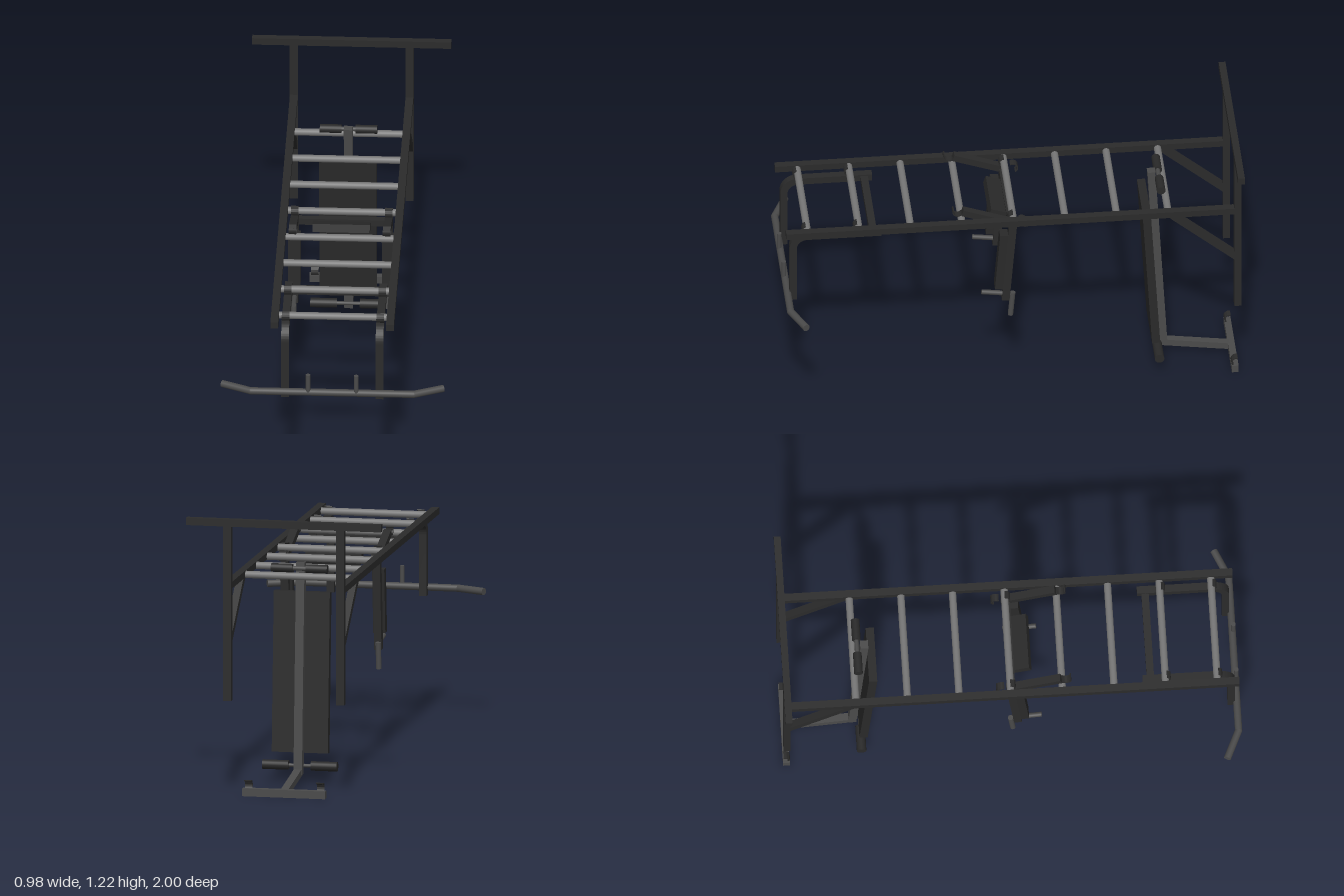
import * as THREE from 'three';
import { toCreasedNormals } from 'three/addons/utils/BufferGeometryUtils.js';

const mat = (color) => new THREE.MeshStandardMaterial({ color });
const V = (x, y, z) => new THREE.Vector3(x, y, z);

export function createModel() {
  const root = new THREE.Group();
  const frame = mat(0x2b2b2b), steel = mat(0x4a4a4a), rungMat = mat(0x777777), pad = mat(0x292929);

  const add = (parent, name, geo, material) => {
    const m = new THREE.Mesh(geo, material);
    m.name = name;
    parent.add(m);
    return m;
  };
  const group = (name) => {
    const g = new THREE.Group();
    g.name = name;
    root.add(g);
    return g;
  };
  // Rectangular bar from a to b: w across, t thick
  const bar = (parent, name, a, b, w, t, material) => {
    const m = add(parent, name, new THREE.BoxGeometry(w, t, a.distanceTo(b)), material);
    m.position.copy(a).add(b).multiplyScalar(0.5);
    if (Math.abs(b.x - a.x) < 1e-6 && Math.abs(b.z - a.z) < 1e-6) m.rotation.x = Math.PI / 2;
    else m.lookAt(b);
    return m;
  };
  // Round rod from a to b
  const rod = (parent, name, a, b, r, material) => {
    const m = add(parent, name, new THREE.CylinderGeometry(r, r, a.distanceTo(b), 20), material);
    m.position.copy(a).add(b).multiplyScalar(0.5);
    m.quaternion.setFromUnitVectors(V(0, 1, 0), b.clone().sub(a).normalize());
    return m;
  };
  // Side profile in (z, y), extruded across x and centred on x
  const profile = (parent, name, shape, x, width, material) => {
    const geo = new THREE.ExtrudeGeometry(shape, { depth: width, bevelEnabled: false, curveSegments: 16 });
    geo.rotateY(-Math.PI / 2).translate(x + width / 2, 0, 0);
    return add(parent, name, toCreasedNormals(geo, 0.6), material);
  };
  // Thin curved hook, swept between two angles in degrees (0 = forward, 90 = up)
  const hook = (parent, x, y, z, from, to, r = 0.024) => {
    const s = new THREE.Shape();
    const a = THREE.MathUtils.degToRad(from), b = THREE.MathUtils.degToRad(to);
    s.absarc(z, y, r, a, b, false);
    s.absarc(z, y, r - 0.005, b, a, true);
    return profile(parent, 'hook', s, x, 0.033, frame);
  };

  // Ladder frame with wall posts
  const ladder = group('ladderFrame');
  for (const s of [-1, 1]) {
    const x = s * 0.252;
    bar(ladder, 'sideRail', V(x, 0.928, -0.985), V(x, 0.928, 0.99), 0.034, 0.03, frame);
    bar(ladder, 'wallPost', V(x, 0.42, -0.985), V(x, 1.2, -0.985), 0.036, 0.03, frame);
    bar(ladder, 'brace', V(x, 0.92, -0.7), V(x, 0.68, -0.98), 0.032, 0.03, frame);
  }
  bar(ladder, 'wallCrossbar', V(-0.434, 1.208, -0.985), V(0.434, 1.208, -0.985), 0.03, 0.032, frame);
  for (let i = 0; i < 8; i++) {
    const z = -0.683 + i * 0.2253;
    rod(ladder, 'rung', V(-0.24, 0.925, z), V(0.24, 0.925, z), 0.016, rungMat);
  }

  // Pull-up attachment: bent arms, crossbar and grip bar
  const pullUp = group('pullUpAttachment');
  const arm = new THREE.Shape();
  arm.moveTo(0.57, 0.874);
  arm.lineTo(0.895, 0.874);
  arm.absarc(0.895, 0.829, 0.045, Math.PI / 2, 0, true);
  arm.lineTo(0.94, 0.557);
  arm.lineTo(0.972, 0.557);
  arm.lineTo(0.972, 0.829);
  arm.absarc(0.895, 0.829, 0.077, 0, Math.PI / 2, false);
  arm.lineTo(0.57, 0.906);
  arm.closePath();
  for (const s of [-1, 1]) {
    profile(pullUp, 'bentArm', arm, s * 0.206, 0.034, frame);
    hook(pullUp, s * 0.206, 0.925, 0.894, -90, 70);
    hook(pullUp, s * 0.206, 0.925, 0.669, -90, 70);
    rod(pullUp, 'gripPeg', V(s * 0.105, 0.59, 0.985), V(s * 0.105, 0.68, 0.985), 0.01, steel);
    rod(pullUp, 'bentGrip', V(s * 0.355, 0.59, 0.98), V(s * 0.482, 0.59, 0.923), 0.016, steel);
    add(pullUp, 'gripBend', new THREE.SphereGeometry(0.016, 20, 12), steel).position.set(s * 0.355, 0.59, 0.98);
  }
  bar(pullUp, 'armCrossbar', V(-0.2, 0.885, 0.605), V(0.2, 0.885, 0.605), 0.032, 0.03, frame);
  rod(pullUp, 'gripBar', V(-0.355, 0.59, 0.98), V(0.355, 0.59, 0.98), 0.016, steel);

  // Dip station: sloped hangers, legs, arm pads and handles
  const dip = group('dipStation');
  for (const s of [-1, 1]) {
    const x = s * 0.205;
    bar(dip, 'sloped hanger', V(x, 0.968, 0.215), V(x, 0.885, -0.02), 0.034, 0.03, frame);
    hook(dip, x, 0.975, 0.235, -140, 30);
    hook(dip, x, 0.895, -0.045, 60, 240);
    hook(dip, x, 0.925, -0.007, -60, 90);
    bar(dip, 'leg', V(x, 0.9, -0.008), V(x, 0.485, 0.026), 0.032, 0.034, frame);
    bar(dip, 'armPad', V(x, 0.84, 0.033), V(x, 0.555, 0.056), 0.054, 0.036, pad);
    rod(dip, 'handleSupport', V(x, 0.528, 0.13), V(x, 0.51, 0), 0.011, steel);
    rod(dip, 'handle', V(s * 0.21, 0.52, -0.006), V(s * 0.21, 0.402, 0.004), 0.012, steel);
  }
  bar(dip, 'dipCrossbar', V(-0.2, 0.882, 0), V(0.2, 0.882, 0), 0.03, 0.03, frame);
  const back = bar(dip, 'backPad', V(0, 0.893, 0.085), V(0, 0.868, 0.01), 0.25, 0.036, pad);
  back.name = 'backPad';

  // Sit-up bench: spine, long pad, rollers and foot
  const bench = group('sitUpBench');
  bar(bench, 'spine', V(0, 0.98, -0.632), V(0, 0.05, -0.685), 0.038, 0.035, steel);
  bar(bench, 'benchPad', V(0, 0.845, -0.6), V(0, 0.14, -0.642), 0.25, 0.036, pad);
  bar(bench, 'footTube', V(0, 0.062, -0.68), V(0, 0.02, -0.975), 0.034, 0.03, steel);
  bar(bench, 'footCrossbar', V(-0.184, 0.018, -0.982), V(0.184, 0.018, -0.982), 0.03, 0.034, steel);
  rod(bench, 'upperAxle', V(-0.1, 0.957, -0.664), V(0.1, 0.957, -0.664), 0.01, steel);
  rod(bench, 'lowerAxle', V(-0.1, 0.083, -0.653), V(0.1, 0.083, -0.653), 0.008, steel);
  for (const s of [-1, 1]) {
    rod(bench, 'upperRoller', V(s * 0.03, 0.957, -0.664), V(s * 0.125, 0.957, -0.664), 0.019, pad);
    rod(bench, 'lowerRoller', V(s * 0.05, 0.083, -0.653), V(s * 0.166, 0.083, -0.653), 0.021, pad);
    hook(bench, s * 0.16, 0.048, -0.99, -50, 100);
  }
  return root;
}
